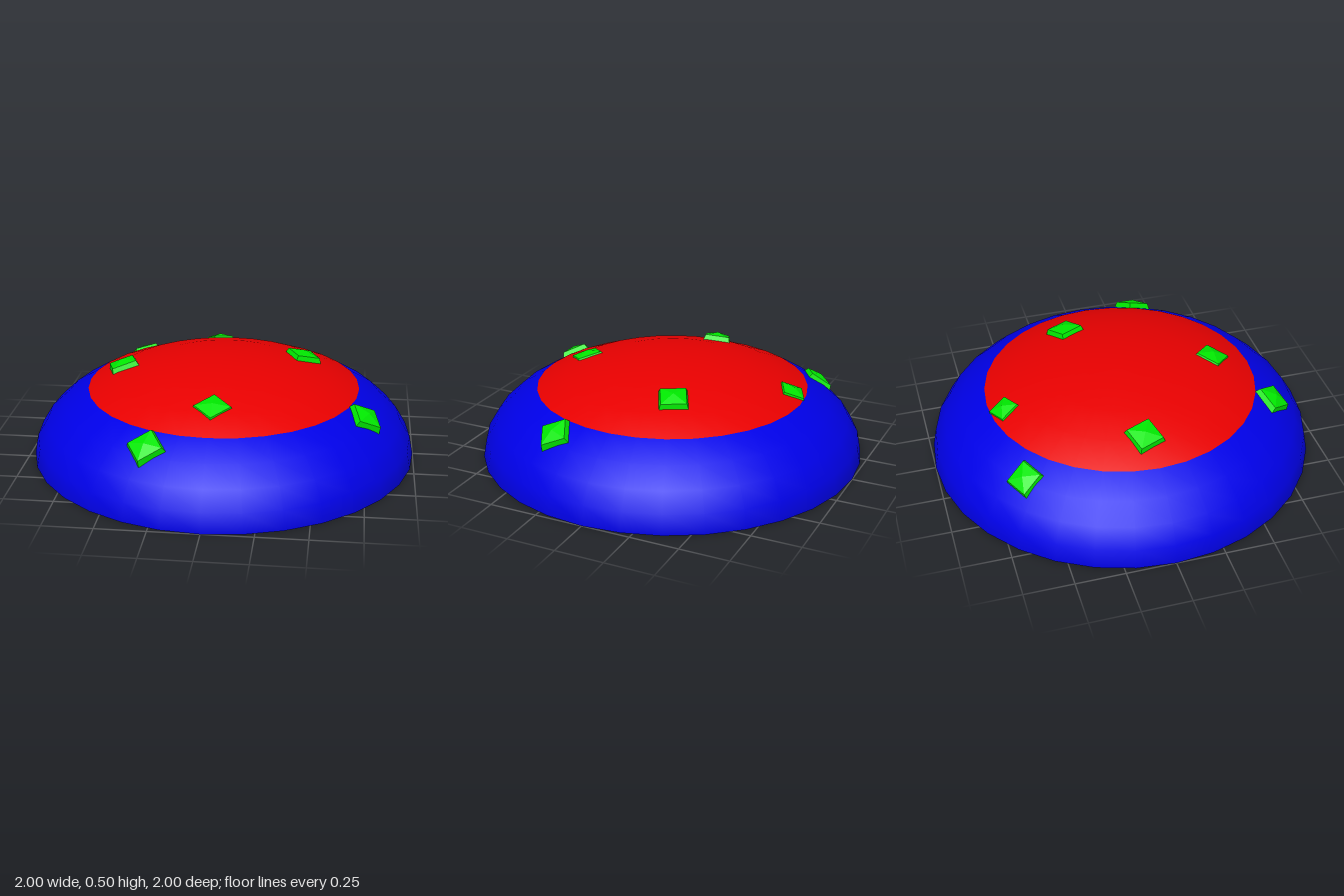
import * as THREE from 'three';

const material = (name, color, flatShading = false) =>
  new THREE.MeshStandardMaterial({ name, color, flatShading, side: THREE.DoubleSide });

export function createModel() {
  const model = new THREE.Group();
  model.name = 'spottedDome';
  const red = material('red', 0xff0000);
  const blue = material('blue', 0x0000ff);
  const green = material('green', 0x00ff00, true);

  // Open dome: a half sphere squashed to half height, in two colour bands
  const band = (name, start, mat) => {
    const geometry = new THREE.SphereGeometry(1, 32, 4, 0, Math.PI * 2, start, Math.PI / 4);
    geometry.scale(1, 0.5, 1);
    const mesh = new THREE.Mesh(geometry, mat);
    mesh.name = name;
    model.add(mesh);
  };
  band('domeTop', 0, red);
  band('domeSide', Math.PI / 4, blue);

  // Four-sided stud: steep walls with a shallow pyramid top, open underneath
  const profile = [[0.105, -0.012], [0.091, 0.022], [0, 0.04]];
  const studGeometry = new THREE.LatheGeometry(profile.map(([r, y]) => new THREE.Vector2(r, y)), 4);

  // x, z, spin, sink, size
  const studs = [
    [0, 0.507, 0, 0.017, 1],
    [-0.29, 0.74, -0.3, 0, 1],
    [0.74, 0.28, -0.42, 0, 0.97],
    [0.405, -0.195, -0.32, 0, 1],
    [-0.535, -0.025, -0.45, 0, 1],
    [-0.09, -0.635, -0.3, 0.016, 0.85],
    [-0.53, -0.625, -0.3, 0.006, 0.95],
  ];
  const up = new THREE.Vector3(0, 1, 0);
  for (const [x, z, spin, sink, size] of studs) {
    const y = 0.5 * Math.sqrt(1 - x * x - z * z);
    const normal = new THREE.Vector3(x, 4 * y, z).normalize();
    const stud = new THREE.Mesh(studGeometry, green);
    stud.name = 'stud';
    stud.position.set(x, y, z).addScaledVector(normal, -sink);
    stud.quaternion.setFromUnitVectors(up, normal);
    stud.rotateY(spin);
    stud.scale.set(size, 1, size);
    model.add(stud);
  }
  return model;
}
